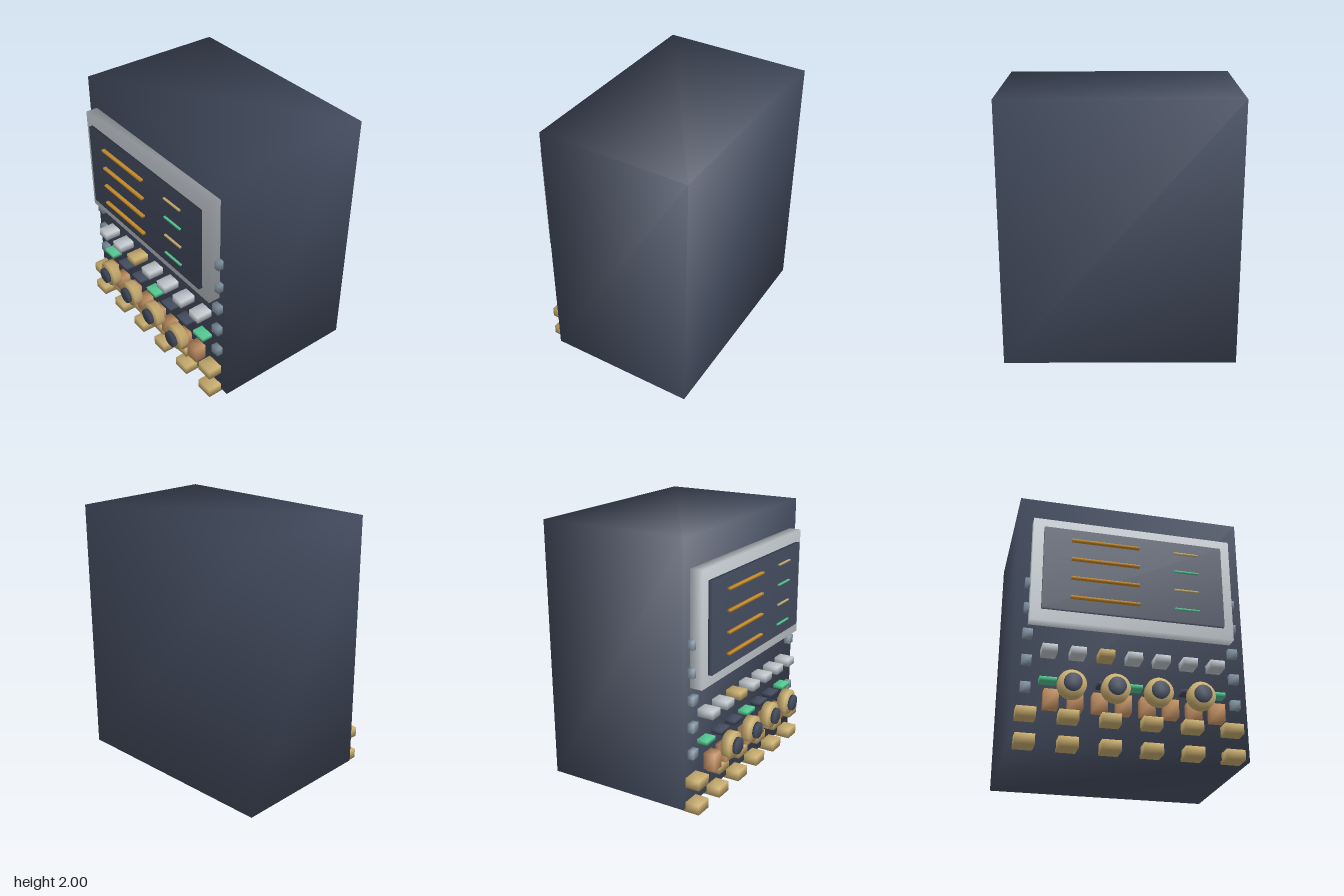
import * as THREE from 'three';
import { mergeVertices } from 'three/addons/utils/BufferGeometryUtils.js';

const paint = (name, color) => {
  const m = new THREE.MeshStandardMaterial({ color });
  m.name = name;
  return m;
};

export function createModel() {
  const model = new THREE.Group();
  model.name = 'controlCabinet';

  const navy = paint('navy', 0x444d60);
  const silver = paint('silver', 0xc6ccd2);
  const steel = paint('steel', 0x8496a6);
  const brass = paint('brass', 0xcdb172);
  const copper = paint('copper', 0xcb9768);
  const amber = paint('amber', 0xcc8f2c);
  const green = paint('green', 0x55cc94);

  // Weld shared corners so normals run smoothly across the edges
  const soften = (geometry) => {
    geometry.deleteAttribute('normal');
    geometry.deleteAttribute('uv');
    const welded = mergeVertices(geometry, 1e-4);
    welded.computeVertexNormals();
    return welded;
  };

  const add = (name, geometry, material, x, y, z) => {
    const mesh = new THREE.Mesh(soften(geometry), material);
    mesh.name = name;
    mesh.position.set(x, y, z);
    model.add(mesh);
    return mesh;
  };

  // Box centred on x, y that spans z0..z1
  const block = (name, material, x, y, w, h, z0, z1) =>
    add(name, new THREE.BoxGeometry(w, h, z1 - z0), material, x, y, (z0 + z1) / 2);

  // Cylinder facing forward, spanning z0..z1
  const disc = (name, material, x, y, r, z0, z1) => {
    const g = new THREE.CylinderGeometry(r, r, z1 - z0, 32);
    g.rotateX(Math.PI / 2);
    return add(name, g, material, x, y, (z0 + z1) / 2);
  };

  const FACE = 0.462; // front of the cabinet

  block('cabinet', navy, 0, 1.0125, 1.72, 1.975, -0.69, FACE);

  // Display
  block('displayBezel', silver, -0.002, 1.353, 1.522, 0.845, FACE - 0.01, 0.556);
  block('displayScreen', navy, -0.002, 1.355, 1.366, 0.672, 0.55, 0.587);
  for (let i = 0; i < 4; i++) {
    const y = 1.59 - i * 0.158;
    block('longReadout', amber, -0.224, y, 0.51, 0.018, 0.587, 0.612);
    block('shortReadout', i % 2 ? green : brass, 0.394, y, 0.188, 0.013, 0.59, 0.605);
  }

  // Studs down both sides
  for (const side of [-1, 1]) {
    for (let i = 0; i < 5; i++) {
      block('sideStud', steel, side * 0.764, 1.254 - i * 0.204, 0.07, 0.067, FACE - 0.005, 0.508);
    }
  }

  // Row of keys with indicator lamps below
  for (let i = 0; i < 7; i++) {
    const x = (i - 3) * 0.204;
    block('key', i === 2 ? brass : silver, x, 0.709, 0.107, 0.059, FACE, 0.587);
    block('indicator', i % 3 === 0 ? green : navy, x, 0.49, 0.122, 0.031, FACE, 0.546);
  }

  // Copper switches
  for (let i = 0; i < 8; i++) {
    block('switch', copper, (i - 3.5) * 0.17, 0.334, 0.102, 0.128, 0.503, 0.593);
  }

  // Rotary knobs with dark caps
  for (let i = 0; i < 4; i++) {
    const x = -0.463 + i * 0.307;
    disc('knob', brass, x, 0.425, 0.1, 0.593, 0.657);
    disc('knobCap', navy, x, 0.425, 0.063, 0.67, 0.694);
  }

  // Two rows of brass terminals
  for (const y of [0.23, 0.038]) {
    for (let i = 0; i < 6; i++) {
      block('terminal', brass, -0.759 + i * 0.2955, y, 0.138, 0.075, 0.435, 0.572);
    }
  }

  return model;
}
